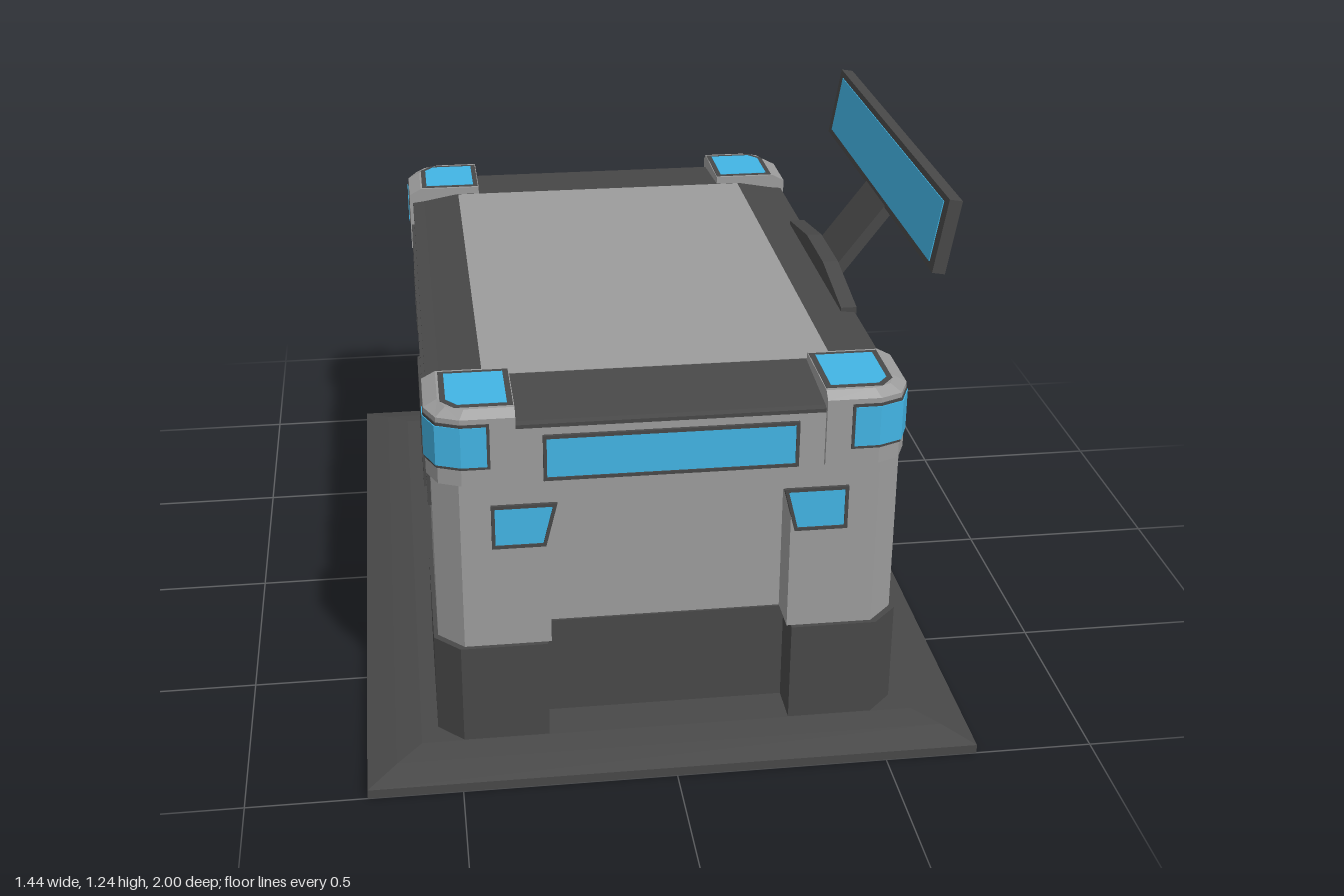
import * as THREE from 'three';

const mat = (color) => new THREE.MeshStandardMaterial({ color, flatShading: true });
const GREY = mat(0x9c9c9c), DARK = mat(0x484848), BLUE = mat(0x42b4e4);
const SMOOTH_DARK = new THREE.MeshStandardMaterial({ color: 0x484848 });

function add(parent, name, geometry, material) {
  const mesh = new THREE.Mesh(geometry, material);
  mesh.name = name;
  parent.add(mesh);
  return mesh;
}

// Capped solid through convex rings: [y, [[x, z], ...]]
function loft(rings) {
  const n = rings[0][1].length, pos = [], idx = [];
  for (const [y, pts] of rings) for (const [x, z] of pts) pos.push(x, y, z);
  for (let r = 0; r < rings.length - 1; r++) {
    for (let i = 0; i < n; i++) {
      const a = r * n + i, b = r * n + (i + 1) % n;
      idx.push(a, a + n, b, b, a + n, b + n);
    }
  }
  const top = (rings.length - 1) * n;
  for (let i = 1; i < n - 1; i++) idx.push(0, i, i + 1, top, top + i + 1, top + i);
  const g = new THREE.BufferGeometry();
  g.setAttribute('position', new THREE.Float32BufferAttribute(pos, 3));
  g.setIndex(idx);
  const flat = g.toNonIndexed();
  flat.computeVertexNormals();
  return flat;
}

const rect = (hx, hz) => [[-hx, -hz], [hx, -hz], [hx, hz], [-hx, hz]];
// Rectangle with corners cut by c
const cutRect = (hx, hz, c) => [
  [-hx + c, -hz], [hx - c, -hz], [hx, -hz + c], [hx, hz - c],
  [hx - c, hz], [-hx + c, hz], [-hx, hz - c], [-hx, -hz + c],
];
const shapeOf = (pts) => new THREE.Shape(pts.map(([x, y]) => new THREE.Vector2(x, y)));
const extrude = (shape, depth) => new THREE.ExtrudeGeometry(shape, { depth, bevelEnabled: false });

// Moves each edge of a convex counter-clockwise polygon inward by d
function inset(pts, d) {
  const n = pts.length;
  const dir = (i) => {
    const [ax, ay] = pts[(i + n) % n], [bx, by] = pts[(i + 1) % n];
    const l = Math.hypot(bx - ax, by - ay);
    return [(bx - ax) / l, (by - ay) / l];
  };
  return pts.map(([x, y], i) => {
    const [ux, uy] = dir(i - 1), [vx, vy] = dir(i), c = d / (ux * vy - uy * vx);
    return [x + (vx - ux) * c, y + (vy - uy) * c];
  });
}

// Cut-corner footprint with a recess in every wall
function footprint(hx, hz, frontHalf, frontDepth, sideHalf, sideDepth) {
  const quarter = [
    [hx - sideDepth, sideHalf], [hx, sideHalf], [hx, hz - 0.06],
    [hx - 0.06, hz], [frontHalf, hz], [frontHalf, hz - frontDepth],
  ];
  const flip = (sx, sz, rev) => {
    const q = quarter.map(([x, z]) => [x * sx, z * sz]);
    return rev ? q.reverse() : q;
  };
  return [...flip(1, 1), ...flip(-1, 1, true), ...flip(-1, -1), ...flip(1, -1, true)];
}

function upright(pts, y0, y1) {
  const g = extrude(shapeOf(pts), y1 - y0);
  g.rotateX(-Math.PI / 2);
  g.translate(0, y0, 0);
  return g;
}

// Framed light standing on a wall that faces +z
function wallLight(parent, name, pts) {
  const inner = inset(pts, 0.008);
  const shape = shapeOf(pts);
  shape.holes.push(new THREE.Path(inner.map(([x, y]) => new THREE.Vector2(x, y))));
  add(parent, name + 'Frame', extrude(shape, 0.018), DARK).position.z = -0.01;
  add(parent, name + 'Glass', extrude(shapeOf(inner), 0.015), BLUE).position.z = -0.01;
}

// Header light and two tapered lights for one wall
function wallLights(parent, name, angle, dist, half, outer, innerTop, innerLow) {
  const wall = new THREE.Group();
  wall.name = name;
  wall.rotation.y = angle;
  wall.position.set(Math.sin(angle) * dist, 0, Math.cos(angle) * dist);
  wallLight(wall, 'headerLight', [[-half, 0.725], [half, 0.725], [half, 0.837], [-half, 0.837]]);
  const taper = [[innerLow, 0.558], [outer, 0.558], [outer, 0.667], [innerTop, 0.667]];
  wallLight(wall, 'taperedLight', taper);
  wallLight(wall, 'taperedLight', taper.map(([x, y]) => [-x, y]).reverse());
  parent.add(wall);
}

// Corner block with wrap-around and top lights, mirrored by sx and sz
function corner(parent, sx, sz) {
  const g = new THREE.Group();
  g.name = 'cornerBlock';
  g.scale.set(sx, 1, sz);
  const block = [[0.35, 0.637], [0.55, 0.637], [0.55, 0.79], [0.525, 0.845], [0.473, 0.868], [0.35, 0.868]];
  const top = [[0.35, 0.637], [0.518, 0.637], [0.518, 0.785], [0.502, 0.828], [0.462, 0.848], [0.35, 0.848]];
  add(g, 'cornerShell', loft([[0.725, block], [0.888, block], [0.905, top]]), GREY);
  const wrap = (e, o) => [
    [0.408 + e, 0.737 + e], [0.55 + o, 0.737 + e], [0.55 + o, 0.79],
    [0.525 + o, 0.845 + o], [0.473, 0.868 + o], [0.408 + e, 0.868 + o],
  ];
  add(g, 'cornerLightFrame', loft([[0.765, wrap(0, 0.002)], [0.876, wrap(0, 0.002)]]), DARK);
  add(g, 'cornerLightGlass', loft([[0.772, wrap(0.007, 0.004)], [0.869, wrap(0.007, 0.004)]]), BLUE);
  const lamp = [[0.352, 0.645], [0.513, 0.645], [0.513, 0.8], [0.482, 0.838], [0.352, 0.838]];
  const glass = inset(lamp, 0.013);
  add(g, 'topLightFrame', loft([[0.89, lamp], [0.906, lamp]]), DARK);
  add(g, 'topLightGlass', loft([[0.89, glass], [0.907, glass]]), BLUE);
  parent.add(g);
}

export function createModel() {
  const model = new THREE.Group();
  model.name = 'generatorUnit';

  // Sloped ground plate
  add(model, 'basePlate', loft([
    [0, rect(0.72, 1)], [0.022, rect(0.72, 1)], [0.04, rect(0.65, 0.93)], [0.05, rect(0.59, 0.87)],
  ]), DARK);

  // Recessed body: dark skirt, grey walls, full header
  add(model, 'skirt', upright(footprint(0.55, 0.868, 0.288, 0.1, 0.422, 0.065), 0.045, 0.3), DARK);
  add(model, 'bodyWalls', upright(footprint(0.54, 0.857, 0.278, 0.095, 0.412, 0.06), 0.3, 0.665), GREY);
  add(model, 'header', loft([[0.665, cutRect(0.54, 0.857, 0.06)], [0.862, cutRect(0.54, 0.857, 0.06)]]), GREY);

  // Dark crowned roof with grey panel
  add(model, 'roofRim', loft([
    [0.855, cutRect(0.541, 0.858, 0.06)], [0.864, cutRect(0.541, 0.858, 0.06)],
    [0.868, cutRect(0.508, 0.845, 0.05)], [0.886, cutRect(0.41, 0.63, 0.005)],
  ]), DARK);
  add(model, 'roofPanel', loft([[0.87, rect(0.41, 0.63)], [0.887, rect(0.41, 0.63)]]), GREY);

  // Lights on all four walls
  wallLights(model, 'frontLights', 0, 0.857, 0.29, 0.41, 0.26, 0.287);
  wallLights(model, 'backLights', Math.PI, 0.857, 0.29, 0.41, 0.26, 0.287);
  wallLights(model, 'leftLights', Math.PI / 2, 0.54, 0.53, 0.635, 0.38, 0.41);
  wallLights(model, 'rightLights', -Math.PI / 2, 0.54, 0.53, 0.635, 0.38, 0.41);

  for (const sx of [1, -1]) {
    for (const sz of [1, -1]) corner(model, sx, sz);

    // Row of bent pipes in each side recess
    const path = new THREE.CatmullRomCurve3([[0.512, 0.045], [0.512, 0.35], [0.512, 0.6], [0.5, 0.632], [0.45, 0.645]]
      .map(([x, y]) => new THREE.Vector3(x * sx, y, 0)));
    const pipe = new THREE.TubeGeometry(path, 24, 0.022, 10);
    for (let i = 0; i < 10; i++) {
      add(model, 'ventPipe', pipe, SMOOTH_DARK).position.z = (i - 4.5) * 0.0725;
    }
  }

  // Screen mount, arm and tilted screen on the left side
  const mount = extrude(shapeOf([[-0.32, 0.86], [0.32, 0.86], [0.32, 0.878], [0.1, 0.917], [-0.1, 0.917], [-0.32, 0.878]]), 0.04);
  mount.rotateY(Math.PI / 2);
  add(model, 'screenMount', mount, DARK).position.x = 0.505;
  const arm = extrude(shapeOf([[0.515, 0.87], [0.547, 0.865], [0.69, 1.055], [0.665, 1.068]]), 0.2);
  add(model, 'screenArm', arm, DARK).position.z = -0.1;
  const screen = new THREE.Group();
  screen.name = 'screen';
  screen.position.set(0.692, 1.147, 0);
  screen.rotation.z = -0.167;
  add(screen, 'screenCase', new THREE.BoxGeometry(0.032, 0.184, 1.12), DARK);
  add(screen, 'screenGlass', new THREE.BoxGeometry(0.006, 0.152, 1.05), BLUE).position.x = -0.015;
  model.add(screen);

  return model;
}
